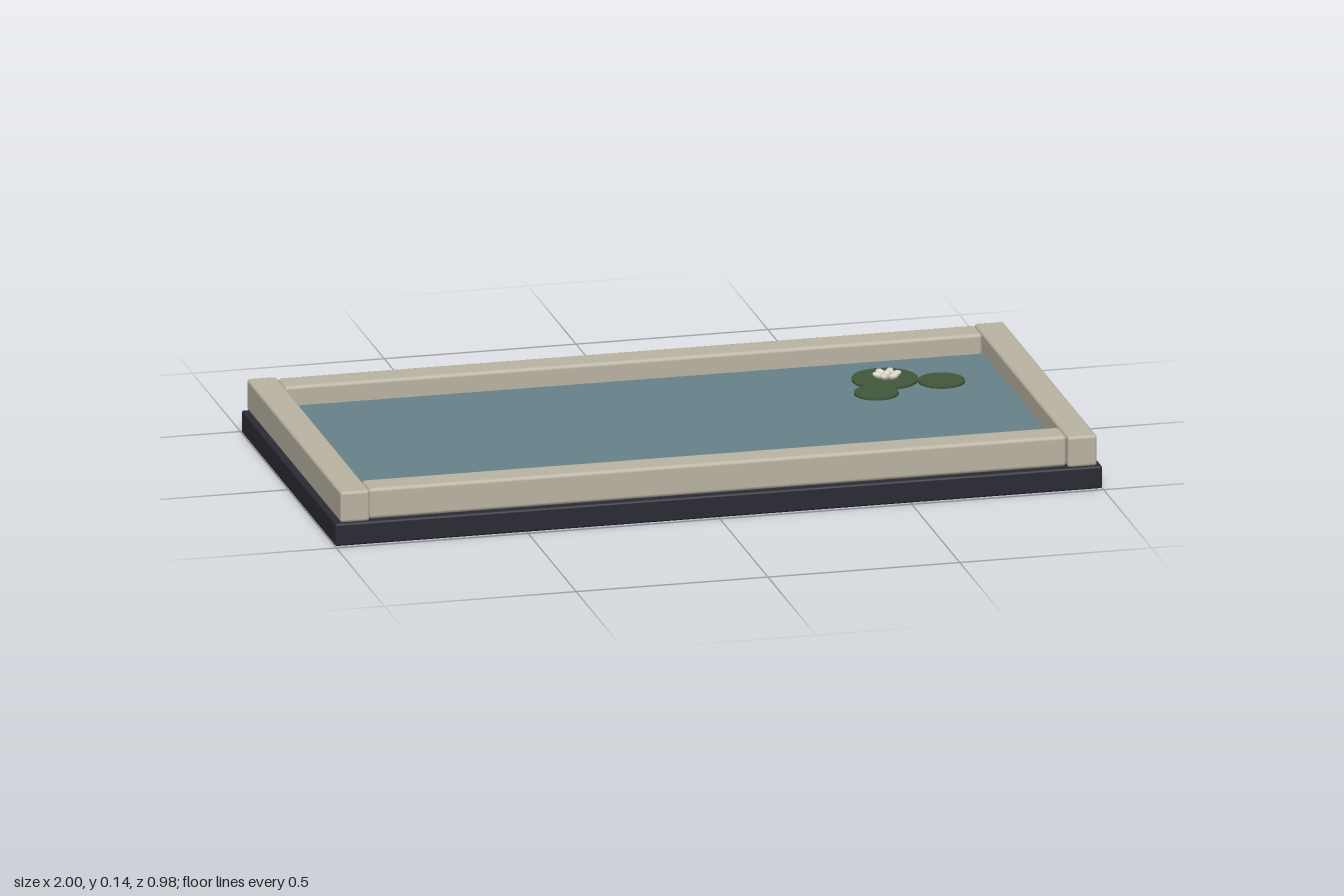
import * as THREE from 'three';
import { RoundedBoxGeometry } from 'three/addons/geometries/RoundedBoxGeometry.js';

const mat = (name, color) => {
  const m = new THREE.MeshStandardMaterial({ color });
  m.name = name;
  return m;
};

export function createModel() {
  const group = new THREE.Group();
  group.name = 'lilyPond';
  const plinthDark = mat('plinthDark', 0x2a2b34);
  const stone = mat('stone', 0xb9b3a2);
  const waterBlue = mat('waterBlue', 0x678289);
  const leafGreen = mat('leafGreen', 0x40573a);
  const petalWhite = mat('petalWhite', 0xd9d5c8);

  const add = (name, geometry, material, x, y, z, parent = group) => {
    const mesh = new THREE.Mesh(geometry, material);
    mesh.name = name;
    mesh.position.set(x, y, z);
    parent.add(mesh);
    return mesh;
  };

  // Dark plinth and water slab
  add('plinth', new RoundedBoxGeometry(2, 0.06, 0.98, 2, 0.006), plinthDark, 0, 0.03, 0);
  add('water', new THREE.BoxGeometry(1.83, 0.032, 0.82), waterBlue, 0, 0.075, 0);

  // Stone coping: long rails between two end rails
  const longRail = new RoundedBoxGeometry(1.82, 0.082, 0.08, 2, 0.01);
  const endRail = new RoundedBoxGeometry(0.077, 0.082, 0.98, 2, 0.008);
  for (const s of [1, -1]) {
    add(s > 0 ? 'frontRail' : 'backRail', longRail, stone, 0, 0.102, s * 0.438);
    add(s > 0 ? 'leftRail' : 'rightRail', endRail, stone, s * 0.948, 0.102, 0);
  }

  // Floating lily pads: x, z, radius
  const pads = [[0.615, -0.24, 0.085], [0.75, -0.19, 0.06], [0.565, -0.13, 0.057]];
  pads.forEach(([x, z, r], i) =>
    add('lilyPad' + (i + 1), new THREE.CylinderGeometry(r, r, 0.006, 20), leafGreen, x, 0.095 + i * 0.0006, z));

  // Lily flower with a ring of petals around a bud
  const flower = new THREE.Group();
  flower.name = 'lilyFlower';
  flower.position.set(0.62, 0.104, -0.24);
  group.add(flower);
  const petal = new THREE.SphereGeometry(0.014, 10, 8).scale(1.2, 0.6, 0.8);
  for (let i = 0; i < 6; i++) {
    const a = (i / 6) * Math.PI * 2;
    const p = add('petal', petal, petalWhite, Math.cos(a) * 0.022, 0.002, -Math.sin(a) * 0.022, flower);
    p.rotation.set(0, a, 0.35);
  }
  add('bud', new THREE.SphereGeometry(0.011, 10, 8), petalWhite, 0, 0.003, 0, flower);

  return group;
}
